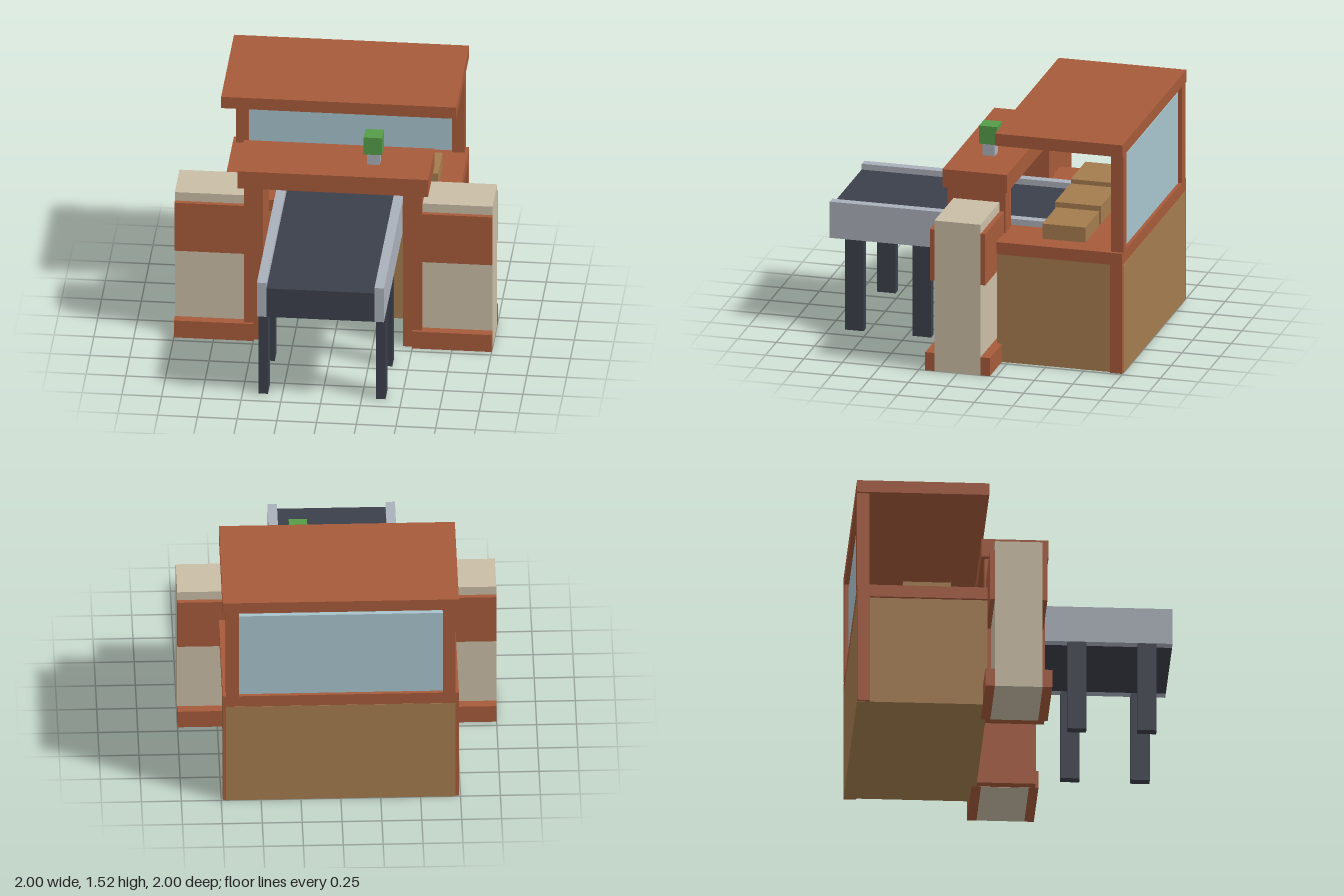
import * as THREE from 'three';

const mat = (name, color) => {
  const m = new THREE.MeshStandardMaterial({ color });
  m.name = name;
  return m;
};

export function createModel() {
  const brick = mat('brick red', 0xa65a3a);
  const plaster = mat('beige plaster', 0xc9bda5);
  const wood = mat('tan wood', 0xa47c4e);
  const dark = mat('dark slate', 0x3b404b);
  const steel = mat('light steel', 0xaab0ba);
  const glass = mat('pale glass', 0xa7c3cc);
  const green = mat('signal green', 0x559c48);

  const model = new THREE.Group();
  model.name = 'checkpoint';

  // Box given by its lower and upper limits on each axis
  const box = (name, material, [x0, x1], [y0, y1], [z0, z1]) => {
    const mesh = new THREE.Mesh(new THREE.BoxGeometry(x1 - x0, y1 - y0, z1 - z0), material);
    mesh.position.set((x0 + x1) / 2, (y0 + y1) / 2, (z0 + z1) / 2);
    mesh.name = name;
    model.add(mesh);
  };
  // The same box on both sides of x = 0
  const pair = (name, material, [x0, x1], y, z) => {
    box(name + 'Left', material, [x0, x1], y, z);
    box(name + 'Right', material, [-x1, -x0], y, z);
  };

  // Side walls with a band and a skirting on the front and back faces
  pair('wall', plaster, [0.5, 1], [0, 1], [-0.15, 0.15]);
  pair('frontBand', brick, [0.5, 1], [0.6, 0.94], [0.15, 0.18]);
  pair('backBand', brick, [0.5, 1], [0.6, 0.94], [-0.18, -0.15]);
  pair('frontSkirting', brick, [0.5, 1], [0, 0.12], [0.15, 0.21]);
  pair('backSkirting', brick, [0.5, 1], [0, 0.12], [-0.21, -0.15]);

  // Gateway
  pair('gatePillar', brick, [0.44, 0.56], [0.002, 1.08], [-0.19, 0.19]);
  box('gateLintel', brick, [-0.6, 0.6], [1.08, 1.2], [-0.21, 0.21]);

  // Signal lamp on the lintel
  box('lampPost', steel, [0.2, 0.28], [1.2, 1.28], [-0.04, 0.04]);
  box('lamp', green, [0.18, 0.295], [1.28, 1.4], [-0.058, 0.058]);

  // Conveyor
  box('conveyorBelt', dark, [-0.34, 0.34], [0.6, 0.802], [-0.4, 1]);
  pair('conveyorRail', steel, [0.34, 0.4], [0.6, 0.84], [-0.4, 1]);
  for (const z of [0.4, 0.84]) {
    pair('conveyorLeg', dark, [0.34, 0.4], [0, 0.6], [z - 0.06, z + 0.06]);
  }

  // Counter
  box('counterBody', wood, [-0.72, 0.72], [0, 0.72], [-1, -0.18]);
  box('counterTop', brick, [-0.74, 0.74], [0.72, 0.8], [-0.998, -0.178]);
  pair('counterCorner', brick, [0.715, 0.74], [0.002, 0.72], [-0.998, -0.92]);

  // Parcels on the counter
  box('parcelRight', wood, [-0.54, -0.2], [0.8, 0.92], [-0.7, -0.4]);
  box('parcelMiddle', wood, [-0.12, 0.24], [0.8, 0.92], [-0.72, -0.42]);
  box('parcelLeft', wood, [0.28, 0.6], [0.8, 0.9], [-0.72, -0.44]);

  // Back window and canopy
  pair('canopyPost', brick, [0.64, 0.72], [0.8, 1.44], [-1, -0.92]);
  box('backWindow', glass, [-0.64, 0.64], [0.8, 1.4], [-0.975, -0.945]);
  box('canopyRoof', brick, [-0.74, 0.74], [1.44, 1.52], [-1, -0.17]);

  return model;
}
